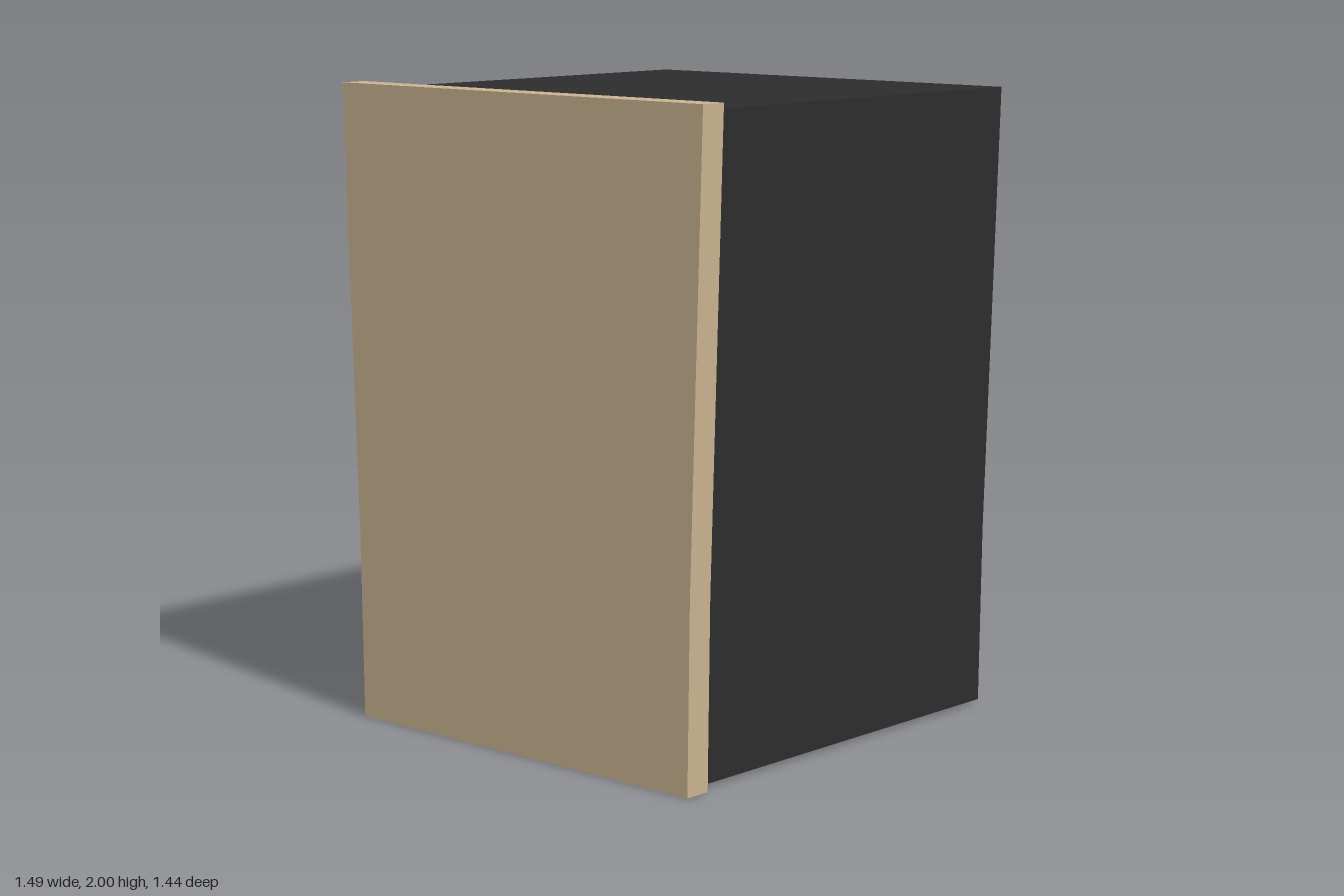
import * as THREE from 'three';

// Right-hand edge of the tapered outline, from bottom to top
const frontEdge = [[0.686, 0], [0.695, 0.58], [0.743, 2]];
const bodyEdge = [[0.652, 0.01], [0.660, 0.58], [0.706, 1.98]];
const BACK = -0.72, JOINT = 0.632, FRONT = 0.72;

// Closed outline, counter-clockwise: up the right edge, down the mirrored left
function outline(edge) {
  const left = edge.map(([x, y]) => [-x, y]).reverse();
  return [...edge, ...left].map(([x, y]) => new THREE.Vector2(x, y));
}

// Thin sheet following a path in x and y, running from the back to the joint
function sheet(path) {
  const pos = [];
  for (let i = 0; i < path.length - 1; i++) {
    const a = path[i], b = path[i + 1];
    pos.push(a.x, a.y, JOINT, a.x, a.y, BACK, b.x, b.y, BACK);
    pos.push(a.x, a.y, JOINT, b.x, b.y, BACK, b.x, b.y, JOINT);
  }
  const geo = new THREE.BufferGeometry();
  geo.setAttribute('position', new THREE.Float32BufferAttribute(pos, 3));
  geo.computeVertexNormals();
  return geo;
}

export function createModel() {
  const model = new THREE.Group();
  const tan = new THREE.MeshStandardMaterial({ color: 0xcbb492 });
  tan.name = 'tan';
  const black = new THREE.MeshStandardMaterial({ color: 0x2d2d2d, side: THREE.DoubleSide });
  black.name = 'black';

  const add = (name, geo, mat, parent = model) => {
    const mesh = new THREE.Mesh(geo, mat);
    mesh.name = name;
    parent.add(mesh);
    return mesh;
  };

  // Solid tapered front panel
  const panel = new THREE.ExtrudeGeometry(new THREE.Shape(outline(frontEdge)), {
    depth: FRONT - JOINT, bevelEnabled: false,
  });
  add('frontPanel', panel, tan).position.z = JOINT;

  // Hollow body, open underneath and closed at the front by the panel
  const body = new THREE.Group();
  body.name = 'body';
  model.add(body);
  const path = outline(bodyEdge);
  const n = bodyEdge.length;
  add('leftWall', sheet(path.slice(0, n)), black, body);
  add('topWall', sheet(path.slice(n - 1, n + 1)), black, body);
  add('rightWall', sheet(path.slice(n)), black, body);
  const back = new THREE.ShapeGeometry(new THREE.Shape(path));
  back.rotateY(Math.PI); // outline is symmetric, so this only turns it to face backwards
  add('backWall', back, black, body).position.z = BACK;

  return model;
}
